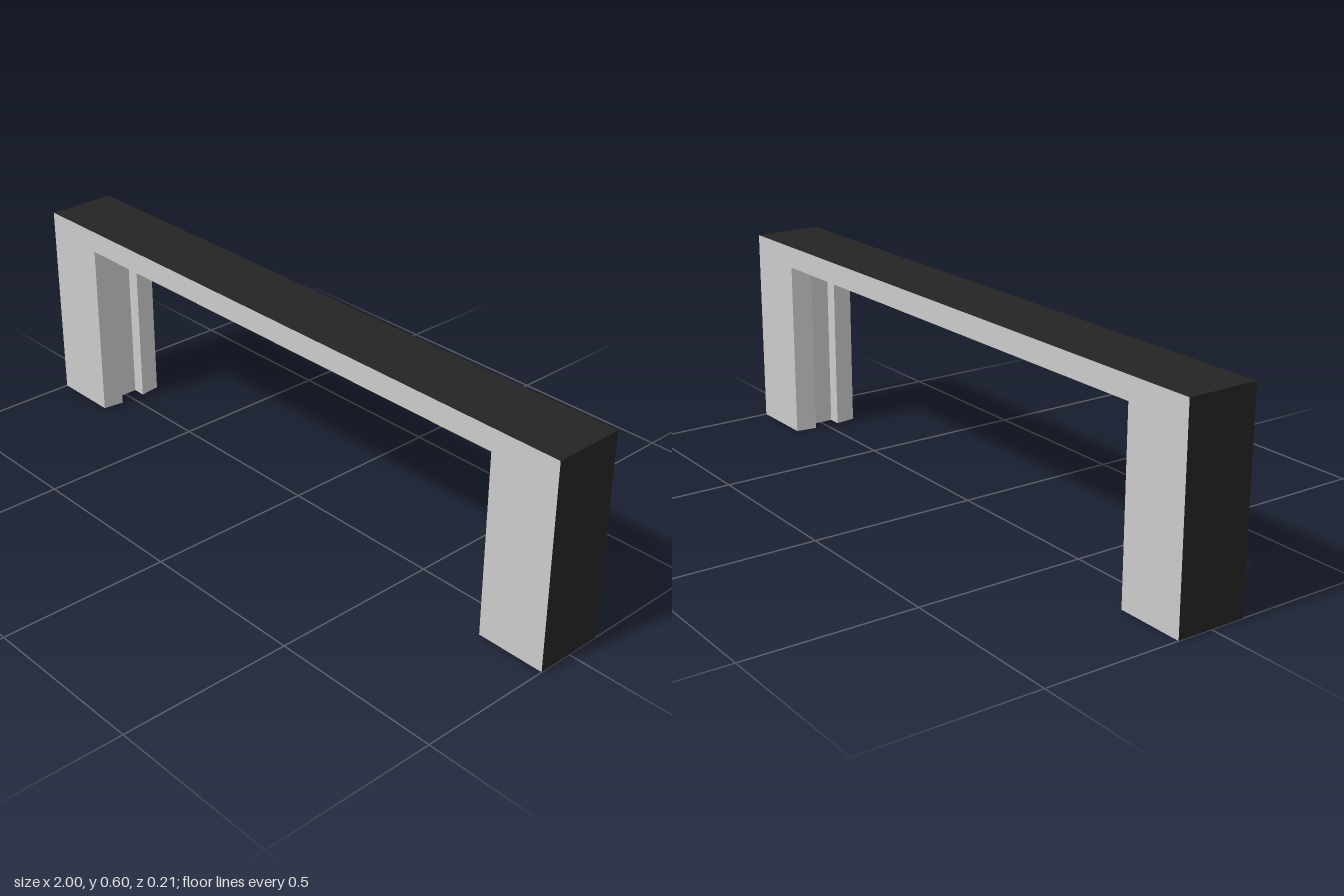
import * as THREE from 'three';

const D = 0.104; // half depth
// Jamb section from front outer edge, round the grooved opening, to back outer edge:
// [x of the leg, y of the lintel, z]
const section = [
  [1, 0.6, D],
  [0.795, 0.535, D],
  [0.786, 0.528, 0.04],
  [0.826, 0.568, 0.04],
  [0.826, 0.568, -0.04],
  [0.786, 0.528, -0.04],
  [0.795, 0.535, -D],
  [1, 0.6, -D],
];

// Sweeps a section up one leg, across the lintel and down the other, with mitred corners
function sweep(points) {
  const stations = [
    ([x, , z]) => [-x, 0, z],
    ([x, y, z]) => [-x, y, z],
    ([x, y, z]) => [x, y, z],
    ([x, , z]) => [x, 0, z],
  ];
  const pos = [];
  for (let s = 0; s < 3; s++) {
    for (let i = 0; i < points.length - 1; i++) {
      const a = stations[s](points[i]), b = stations[s](points[i + 1]);
      const c = stations[s + 1](points[i + 1]), d = stations[s + 1](points[i]);
      pos.push(...a, ...b, ...c, ...a, ...c, ...d);
    }
  }
  const g = new THREE.BufferGeometry();
  g.setAttribute('position', new THREE.Float32BufferAttribute(pos, 3));
  g.computeVertexNormals();
  return g;
}

export function createModel() {
  const group = new THREE.Group();
  group.name = 'doorFrame';
  const grey = new THREE.MeshStandardMaterial({ color: 0xcccccc });
  const dark = new THREE.MeshStandardMaterial({ color: 0x242424 });
  const add = (name, geometry, material) => {
    const mesh = new THREE.Mesh(geometry, material);
    mesh.name = name;
    group.add(mesh);
  };

  // Front and back faces with the grooved opening
  add('groovedFrame', sweep(section), grey);

  // Dark outer sides and top
  add('outerShell', sweep([section[section.length - 1], section[0]]), dark);

  // Dark undersides of the legs
  for (const side of [-1, 1]) {
    const shape = new THREE.Shape(section.map(([x, , z]) => new THREE.Vector2(side * x, z)));
    add(side < 0 ? 'rightFoot' : 'leftFoot', new THREE.ShapeGeometry(shape).rotateX(Math.PI / 2), dark);
  }
  return group;
}
